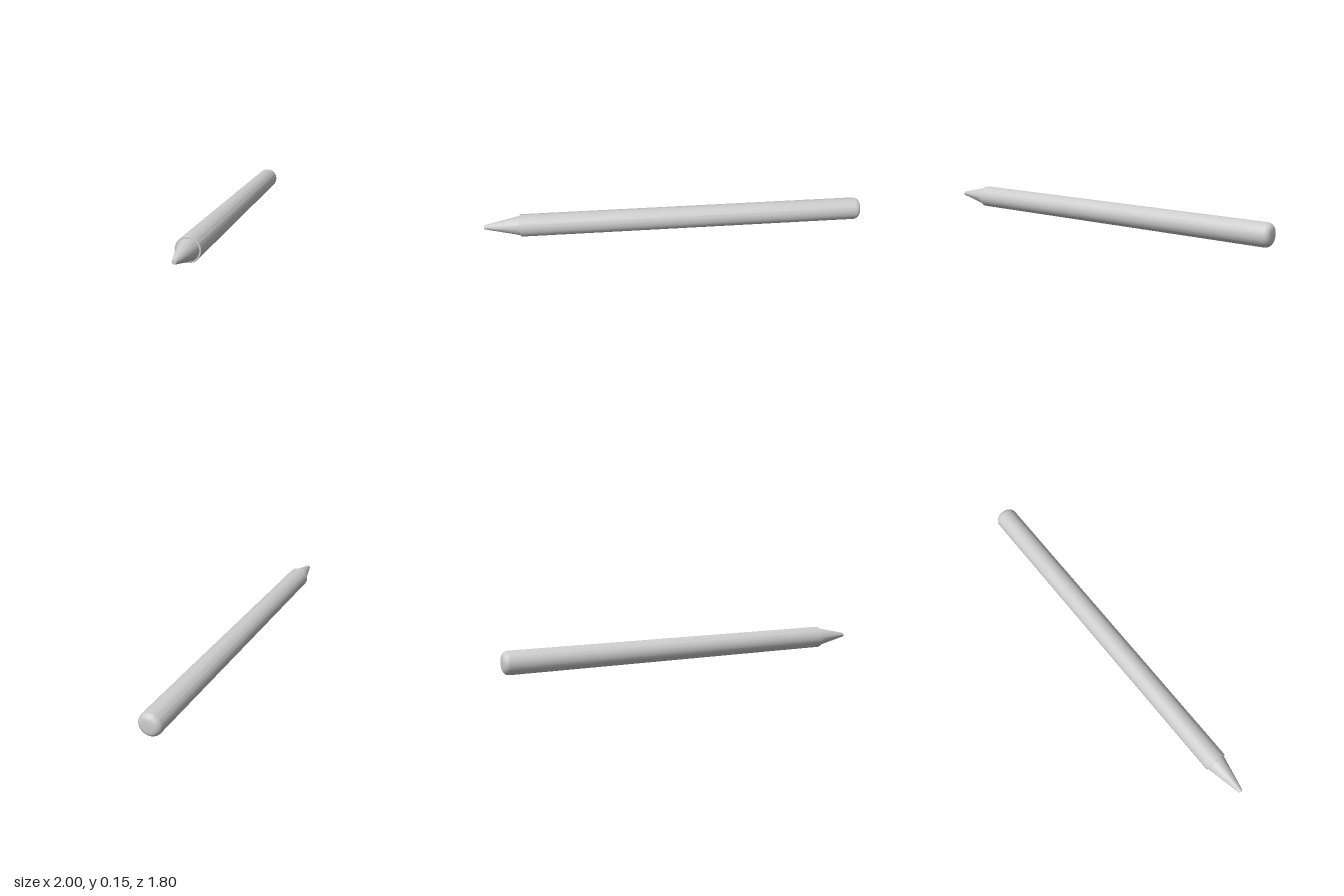
import * as THREE from 'three';
import { toCreasedNormals } from 'three/addons/utils/BufferGeometryUtils.js';

const RADIUS = 0.077;   // barrel radius
const NIB = 0.245;      // nib length
const ROUND = 0.042;    // rounding of the rear end
const TIP = new THREE.Vector3(-0.99, RADIUS, 0.89);
const END = new THREE.Vector3(0.965, RADIUS, -0.862);

export function createModel() {
  const pen = new THREE.Group();
  pen.name = 'stylus';
  const material = new THREE.MeshStandardMaterial({ color: 0xcccccc });

  // Turned part: profile of [radius, distance from the tip]
  const turned = (name, profile) => {
    const points = profile.map(([r, y]) => new THREE.Vector2(r, y));
    const geometry = toCreasedNormals(new THREE.LatheGeometry(points, 64), 0.5);
    const mesh = new THREE.Mesh(geometry, material);
    mesh.name = name;
    pen.add(mesh);
  };

  const length = TIP.distanceTo(END);

  // Tapered nib with a tiny blunt point
  turned('nib', [
    [0, 0], [0.009, 0], [0.013, 0.002], [0.015, 0.007],
    [0.067, NIB], [0.067, NIB + 0.01],
  ]);

  // Long barrel: stepped front face, rounded rear edge, flat rear face
  const barrel = [[0, NIB], [RADIUS - 0.002, NIB], [RADIUS, NIB + 0.002]];
  for (let i = 0; i <= 10; i++) {
    const a = (i / 10) * Math.PI / 2;
    barrel.push([
      RADIUS - ROUND + ROUND * Math.cos(a),
      length - ROUND + ROUND * Math.sin(a),
    ]);
  }
  barrel.push([0, length]);
  turned('barrel', barrel);

  // Lay the pen flat along its diagonal
  const direction = END.clone().sub(TIP).normalize();
  pen.quaternion.setFromUnitVectors(new THREE.Vector3(0, 1, 0), direction);
  pen.position.copy(TIP);

  const model = new THREE.Group();
  model.name = 'model';
  model.add(pen);
  return model;
}
